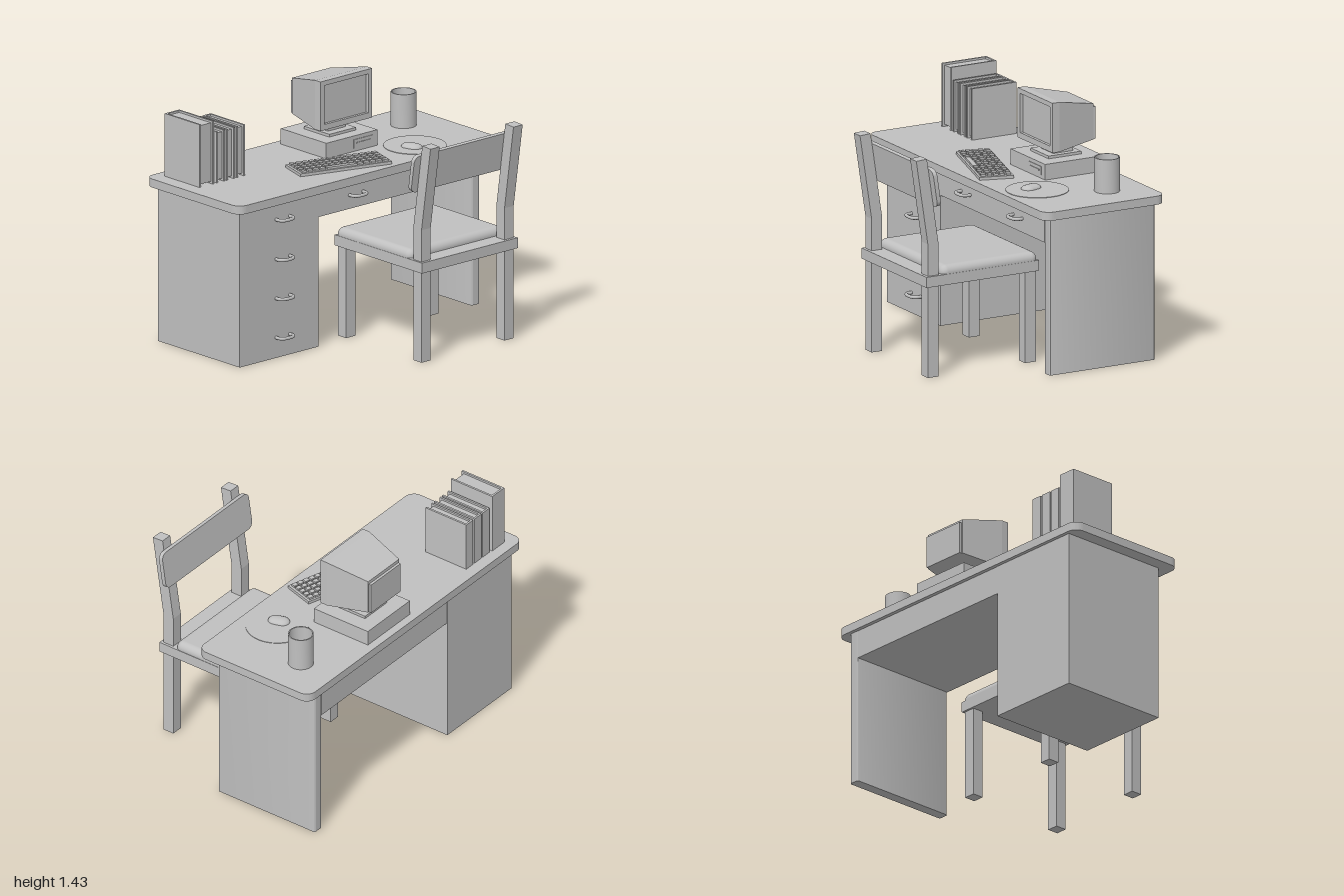
import * as THREE from 'three';
import { toCreasedNormals } from 'three/addons/utils/BufferGeometryUtils.js';
import { RoundedBoxGeometry } from 'three/addons/geometries/RoundedBoxGeometry.js';

const grey = new THREE.MeshStandardMaterial({ color: 0xc0c0c0 });
grey.name = 'plain grey';

function add(parent, name, geometry) {
  const mesh = new THREE.Mesh(geometry, grey);
  mesh.name = name;
  parent.add(mesh);
  return mesh;
}

function group(parent, name) {
  const g = new THREE.Group();
  g.name = name;
  parent.add(g);
  return g;
}

// box given by its limits on each axis
function box(parent, name, x0, x1, y0, y1, z0, z1) {
  const g = new THREE.BoxGeometry(x1 - x0, y1 - y0, z1 - z0);
  g.translate((x0 + x1) / 2, (y0 + y1) / 2, (z0 + z1) / 2);
  return add(parent, name, g);
}

// rounded rectangle centred on the origin
function roundedRect(w, h, r) {
  const s = new THREE.Shape();
  s.absarc(w / 2 - r, h / 2 - r, r, 0, Math.PI / 2);
  s.absarc(-w / 2 + r, h / 2 - r, r, Math.PI / 2, Math.PI);
  s.absarc(-w / 2 + r, -h / 2 + r, r, Math.PI, Math.PI * 1.5);
  s.absarc(w / 2 - r, -h / 2 + r, r, Math.PI * 1.5, Math.PI * 2);
  s.closePath();
  return s;
}

function slab(shape, depth) {
  const g = new THREE.ExtrudeGeometry(shape, { depth, bevelEnabled: false, curveSegments: 8 });
  return toCreasedNormals(g, 0.6);
}

const DESK = 0.985; // height of the desk surface

function buildDesk(root) {
  const desk = group(root, 'desk');
  const top = slab(roundedRect(2, 0.794, 0.06), 0.05);
  top.rotateX(-Math.PI / 2).translate(0, 0.935, -0.31);
  add(desk, 'deskTop', top);
  box(desk, 'drawerCabinet', -0.92, -0.32, 0, 0.935, -0.685, 0.005);
  box(desk, 'drawerBox', -0.32, 0.852, 0.767, 0.935, -0.683, 0.003);
  const panel = slab(roundedRect(0.064, 0.69, 0.012), 0.935);
  panel.rotateX(-Math.PI / 2).translate(0.883, 0, -0.34);
  add(desk, 'sidePanel', panel);

  // bow handles on the cabinet and the wide drawers
  const path = new THREE.CatmullRomCurve3([
    [-0.052, 0], [-0.05, 0.03], [-0.032, 0.048], [0.032, 0.048], [0.05, 0.03], [0.052, 0],
  ].map(([x, z]) => new THREE.Vector3(x, 0, z)));
  const tube = new THREE.TubeGeometry(path, 24, 0.01, 8);
  const spots = [0.82, 0.585, 0.353, 0.12].map((y) => [-0.59, y]);
  spots.push([-0.03, 0.85], [0.555, 0.85]);
  for (const [x, y] of spots) add(desk, 'drawerHandle', tube).position.set(x, y, 0.005);
}

function buildChair(root) {
  const chair = group(root, 'chair');
  // rear legs bend backwards above the seat
  const side = new THREE.Shape([
    [0.558, 0], [0.627, 0], [0.627, 0.785], [0.703, 1.283], [0.634, 1.287], [0.558, 0.785],
  ].map(([z, y]) => new THREE.Vector2(z, y)));
  const rear = new THREE.ExtrudeGeometry(side, { depth: 0.07, bevelEnabled: false });
  rear.rotateY(-Math.PI / 2);
  for (const x of [-0.094, 0.54]) {
    add(chair, 'rearLeg', rear).position.x = x + 0.07;
    box(chair, 'frontLeg', x, x + 0.07, 0, 0.54, -0.08, -0.01);
  }
  box(chair, 'seat', -0.107, 0.625, 0.535, 0.597, -0.093, 0.645);
  const cushion = new RoundedBoxGeometry(0.728, 0.1, 0.63, 5, 0.04);
  add(chair, 'cushion', cushion).position.set(0.259, 0.595, 0.224);
  const rest = slab(roundedRect(0.805, 0.225, 0.04), 0.025);
  rest.translate(0, 0, -0.0125).rotateX(0.15);
  add(chair, 'backrest', rest).position.set(0.259, 1.118, 0.596);
}

function buildComputer(root) {
  const pc = group(root, 'computer');
  box(pc, 'computerCase', -0.008, 0.384, DESK, 1.077, -0.657, -0.273);
  box(pc, 'drivePlate', 0.2, 0.345, 1.005, 1.055, -0.275, -0.269);
  box(pc, 'driveSlot', 0.22, 0.325, 1.029, 1.036, -0.27, -0.265);
  box(pc, 'monitorFoot', 0.085, 0.29, 1.077, 1.093, -0.565, -0.35);
  box(pc, 'monitorNeck', 0.12, 0.255, 1.093, 1.17, -0.53, -0.4);

  // front frame around a recessed screen
  const frame = new THREE.Shape().moveTo(-0.01, 1.138).lineTo(0.386, 1.138)
    .lineTo(0.386, 1.43).lineTo(-0.01, 1.43).closePath();
  frame.holes.push(new THREE.Path().moveTo(0.02, 1.172).lineTo(0.02, 1.402)
    .lineTo(0.356, 1.402).lineTo(0.356, 1.172).closePath());
  const bezel = new THREE.ExtrudeGeometry(frame, { depth: 0.045, bevelEnabled: false });
  add(pc, 'monitorFrame', bezel).position.z = -0.365;
  box(pc, 'screen', 0.015, 0.361, 1.167, 1.407, -0.364, -0.338);

  // housing narrows towards the back
  const shell = new THREE.BoxGeometry(1, 1, 1);
  const p = shell.attributes.position;
  for (let i = 0; i < p.count; i++) {
    const back = p.getZ(i) < 0;
    const w = back ? 0.29 : 0.396;
    const [lo, hi] = back ? [1.165, 1.375] : [1.138, 1.43];
    p.setXYZ(i, 0.188 + p.getX(i) * w, p.getY(i) < 0 ? lo : hi, back ? -0.62 : -0.365);
  }
  shell.computeVertexNormals();
  add(pc, 'monitorHousing', shell);
  box(pc, 'monitorBack', 0.05, 0.326, 1.165, 1.355, -0.636, -0.615);
}

function buildKeyboard(root) {
  const kb = group(root, 'keyboard');
  kb.position.set(-0.044, DESK, -0.127);
  kb.rotation.y = -0.292;
  box(kb, 'keyboardBody', -0.287, 0.287, 0, 0.017, -0.1, 0.1);
  const step = 0.0395;
  for (let row = 0; row < 5; row++) {
    const z = (row - 2) * 0.037;
    for (let col = 0; col < 14; col++) {
      const space = row === 4 && col >= 4 && col <= 8;
      if (space && col > 4) continue;
      const x = -0.276 + col * step;
      const w = space ? step * 5 : step;
      box(kb, space ? 'spaceBar' : 'key', x + 0.005, x + w - 0.005, 0.017, 0.029, z - 0.014, z + 0.014);
    }
  }
}

function buildBooks(root) {
  // stiff covers with the spine at the rear and the pages set in
  for (const [x0, x1, top, back] of [
    [-0.91, -0.798, 1.357, -0.64],
    [-0.78, -0.715, 1.287, -0.635],
    [-0.705, -0.64, 1.287, -0.635],
    [-0.627, -0.562, 1.287, -0.635],
  ]) {
    const book = group(root, 'book');
    const t = 0.012, front = -0.345;
    box(book, 'cover', x0, x0 + t, DESK, top, back, front);
    box(book, 'cover', x1 - t, x1, DESK, top, back, front);
    box(book, 'spine', x0 + t, x1 - t, DESK, top, back, back + t);
    box(book, 'pages', x0 + t, x1 - t, DESK + 0.012, top - 0.012, back + t, front - 0.015);
  }
}

function buildSmallThings(root) {
  const wall = [[0, 0], [0.073, 0], [0.073, 0.2], [0.066, 0.2], [0.066, 0.012], [0, 0.012]];
  const cup = new THREE.LatheGeometry(wall.map(([x, y]) => new THREE.Vector2(x, y)), 36);
  add(root, 'penCup', toCreasedNormals(cup, 0.6)).position.set(0.755, DESK, -0.463);

  const pad = new THREE.CylinderGeometry(0.18, 0.18, 0.003, 40);
  add(root, 'mousePad', pad).position.set(0.54, DESK + 0.0015, -0.13);

  const body = new THREE.CapsuleGeometry(0.043, 0.042, 8, 20);
  body.rotateX(Math.PI / 2).scale(1, 0.55, 1);
  const mouse = add(root, 'mouse', body);
  mouse.position.set(0.5, DESK + 0.002, -0.112);
  mouse.rotation.y = 0.3;
}

export function createModel() {
  const root = new THREE.Group();
  root.name = 'workDesk';
  buildDesk(root);
  buildChair(root);
  buildComputer(root);
  buildKeyboard(root);
  buildBooks(root);
  buildSmallThings(root);
  return root;
}
